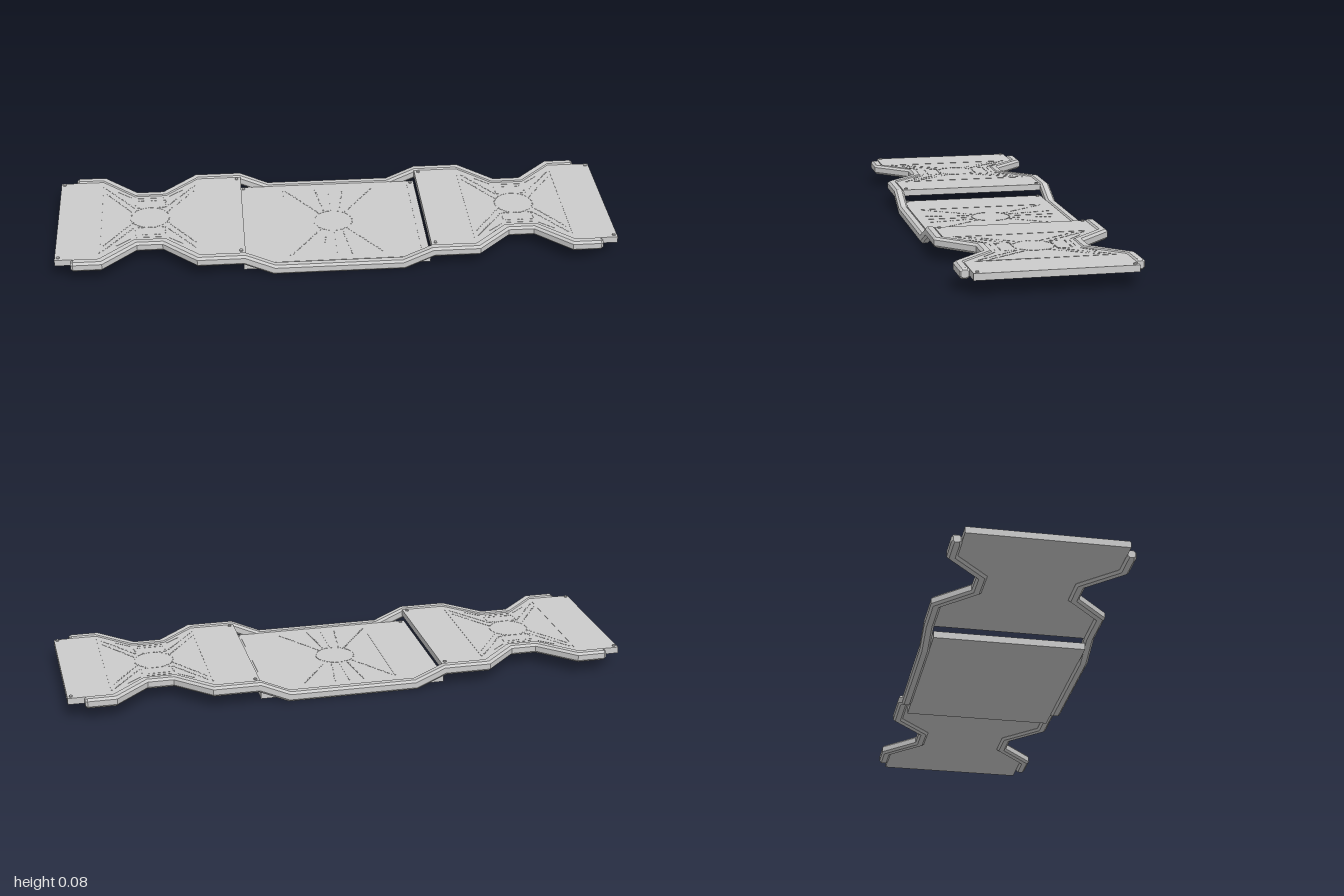
import * as THREE from 'three';

const grey = new THREE.MeshStandardMaterial({ color: 0xcccccc, flatShading: true });

function add(parent, name, geometry, x = 0, y = 0, z = 0) {
  const mesh = new THREE.Mesh(geometry, grey);
  mesh.name = name;
  mesh.position.set(x, y, z);
  parent.add(mesh);
  return mesh;
}

// Sweep a chamfered square section along a bent path with mitred joints
function railGeometry(path) {
  const section = [[1, -0.55], [1, 0.55], [0.55, 1], [-0.55, 1], [-1, 0.55], [-1, -0.55], [-0.55, -1], [0.55, -1]];
  const n = section.length, last = path.length - 1;
  const up = new THREE.Vector3(0, 1, 0);
  const pos = [], index = [];
  path.forEach((p, i) => {
    const a = p.clone().sub(path[Math.max(i - 1, 0)]).normalize();
    const b = path[Math.min(i + 1, last)].clone().sub(p).normalize();
    const t = a.clone().add(b).normalize();
    const side = t.clone().cross(up).normalize();
    const rise = side.clone().cross(t);
    const seg = i < last ? b : a;
    const segSide = seg.clone().cross(up).normalize();
    const sideScale = 0.0175 / side.dot(segSide);
    const riseScale = 0.018 / rise.dot(segSide.clone().cross(seg));
    const end = i === 0 || i === last ? 0.7 : 1;
    for (const [s, u] of section) {
      const v = p.clone().addScaledVector(side, s * sideScale * end).addScaledVector(rise, u * riseScale * end);
      pos.push(v.x, v.y, v.z);
    }
  });
  const centre = pos.length / 3;
  for (const p of [path[0], path[last]]) pos.push(p.x, p.y, p.z);
  for (let j = 0; j < n; j++) {
    const k = (j + 1) % n;
    for (let i = 0; i < last; i++) {
      const a = i * n, b = a + n;
      index.push(a + j, b + j, a + k, b + j, b + k, a + k);
    }
    index.push(centre, j, k, centre + 1, last * n + k, last * n + j);
  }
  const g = new THREE.BufferGeometry();
  g.setAttribute('position', new THREE.Float32BufferAttribute(pos, 3));
  g.setIndex(index);
  g.computeVertexNormals();
  return g;
}

// Flat plate from its half outline, mirrored across z = 0
function plateGeometry(half, thickness) {
  const outline = [...half.map(([x, z]) => new THREE.Vector2(x, -z)),
    ...half.slice().reverse().map(([x, z]) => new THREE.Vector2(x, z))];
  return new THREE.ExtrudeGeometry(new THREE.Shape(outline), { depth: thickness, bevelEnabled: false }).rotateX(-Math.PI / 2);
}

// Thin raised seam between two points on a plate
function seam(parent, x1, z1, x2, z2, y, width = 0.005) {
  const g = new THREE.BoxGeometry(Math.hypot(x2 - x1, z2 - z1), 0.002, width);
  add(parent, 'seam', g, (x1 + x2) / 2, y, (z1 + z2) / 2).rotation.y = -Math.atan2(z2 - z1, x2 - x1);
}

// Row of short stitches between two points
function stitches(parent, x1, z1, x2, z2, y) {
  const count = Math.max(2, Math.round(Math.hypot(x2 - x1, z2 - z1) / 0.016));
  const at = (a, b, k) => a + (b - a) * k / count;
  for (let i = 0; i < count; i++) {
    seam(parent, at(x1, x2, i), at(z1, z2, i), at(x1, x2, i + 0.6), at(z1, z2, i + 0.6), y, 0.004);
  }
}

function bolts(parent, xs, y) {
  for (const x of xs) for (const z of [-0.256, 0.256]) {
    add(parent, 'bolt', new THREE.CylinderGeometry(0.006, 0.006, 0.006, 8), x, y + 0.002, z);
  }
}

function endPlate() {
  const g = new THREE.Group();
  g.name = 'endPlate';
  const y = 0.078;
  const half = [[0.33, 0.27], [0.494, 0.27], [0.61, 0.162], [0.725, 0.162], [0.841, 0.27], [1, 0.27]];
  add(g, 'panel', plateGeometry(half, 0.023), 0, 0.055, 0);
  seam(g, 0.49, -0.235, 0.49, 0.235, y);
  seam(g, 0.845, -0.235, 0.845, 0.235, y);
  for (const s of [-1, 1]) {
    // stitched rays and the small waist pocket
    stitches(g, 0.61, s * 0.07, 0.5, s * 0.225, y);
    stitches(g, 0.725, s * 0.07, 0.835, s * 0.225, y);
    stitches(g, 0.605, s * 0.035, 0.5, s * 0.19, y);
    stitches(g, 0.73, s * 0.035, 0.835, s * 0.19, y);
    stitches(g, 0.61, s * 0.12, 0.725, s * 0.12, y);
    stitches(g, 0.615, s * 0.07, 0.72, s * 0.07, y);
    stitches(g, 0.615, s * 0.07, 0.61, s * 0.12, y);
    stitches(g, 0.72, s * 0.07, 0.725, s * 0.12, y);
    seam(g, 0.62, s * 0.138, 0.715, s * 0.138, y, 0.003);
    seam(g, 0.55, s * 0.19, 0.6, s * 0.145, y, 0.003);
    seam(g, 0.785, s * 0.19, 0.735, s * 0.145, y, 0.003);
  }
  ring(g, 0.6675, 0.07, y);
  bolts(g, [0.345, 0.988], y);
  return g;
}

function ring(parent, x, radius, y) {
  for (let i = 0; i < 24; i++) {
    const a = i * Math.PI / 12, b = a + 0.18;
    seam(parent, x + radius * Math.cos(a), radius * Math.sin(a), x + radius * Math.cos(b), radius * Math.sin(b), y, 0.004);
  }
}

export function createModel() {
  const model = new THREE.Group();
  model.name = 'foldedFrame';

  // Side rails: pinched at both waists and dropped in the middle
  const halfPath = [[0.23, 0.018, 0.286], [0.335, 0.064, 0.286], [0.494, 0.064, 0.286], [0.615, 0.064, 0.167],
    [0.72, 0.064, 0.167], [0.841, 0.064, 0.286], [0.935, 0.064, 0.286], [0.943, 0.064, 0.286]];
  for (const s of [1, -1]) {
    const path = [...halfPath.slice().reverse().map(([x, y, z]) => new THREE.Vector3(-x, y, s * z)),
      ...halfPath.map(([x, y, z]) => new THREE.Vector3(x, y, s * z))];
    add(model, s > 0 ? 'frontRail' : 'backRail', railGeometry(path));
  }

  // Raised waisted plates at the two ends
  const left = endPlate(), right = endPlate();
  right.rotation.y = Math.PI;
  model.add(left, right);

  // Lower middle plate
  const middle = new THREE.Group();
  middle.name = 'middlePlate';
  model.add(middle);
  const y = 0.033;
  add(middle, 'panel', plateGeometry([[-0.337, 0.27], [0.328, 0.27]], 0.025), 0, 0.008, 0);
  seam(middle, -0.17, -0.23, -0.17, 0.23, y);
  seam(middle, 0.303, -0.25, 0.303, 0.235, y);
  ring(middle, 0, 0.07, y);
  for (const s of [-1, 1]) {
    seam(middle, 0, s * 0.07, 0, s * 0.235, y);
    for (const d of [-1, 1]) {
      stitches(middle, d * 0.05, s * 0.06, d * 0.165, s * 0.23, y);
      stitches(middle, d * 0.03, s * 0.075, d * 0.053, s * 0.24, y);
    }
  }
  bolts(middle, [-0.32, 0.315], y);
  return model;
}
